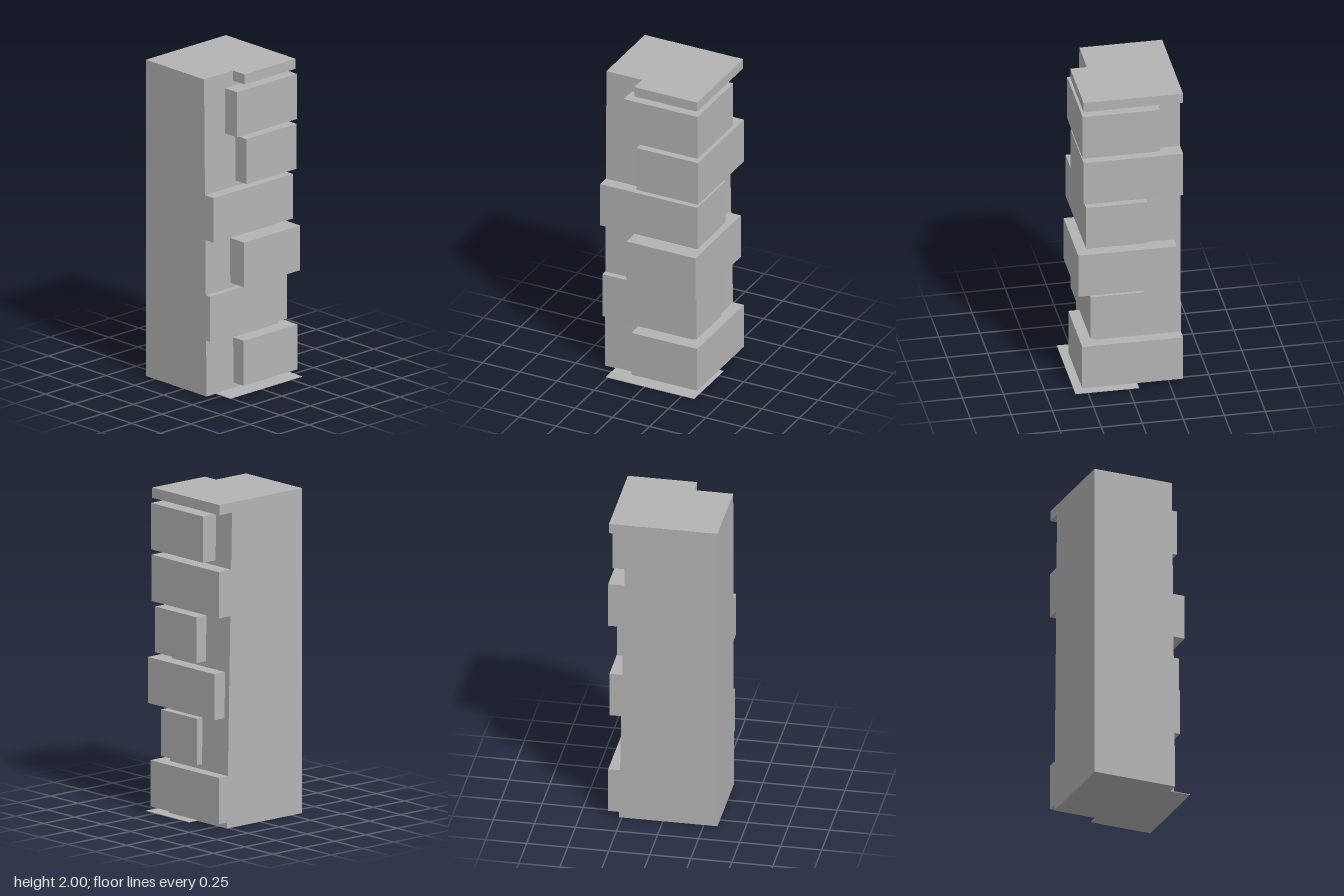
import * as THREE from 'three';

const stone = new THREE.MeshStandardMaterial({ color: 0xb4b4b4 });
stone.name = 'grey stone';

// L-shaped block wrapping the back-left corner of the pillar, sunk slightly into it
function cornerBlock(name, y0, y1, left, right, back, front) {
  const innerX = 0.17, innerZ = -0.22;
  const outline = [
    [right, back], [left, back], [left, innerZ],
    [innerX, innerZ], [innerX, front], [right, front],
  ];
  const shape = new THREE.Shape(outline.map(([x, z]) => new THREE.Vector2(x, -z)));
  const geometry = new THREE.ExtrudeGeometry(shape, { depth: y1 - y0, bevelEnabled: false });
  geometry.rotateX(-Math.PI / 2).translate(0, y0, 0);
  const mesh = new THREE.Mesh(geometry, stone);
  mesh.name = name;
  return mesh;
}

// Pillar whose +x and back faces lean inwards towards the top
function pillar() {
  const geometry = new THREE.BoxGeometry(2, 2, 2).translate(0, 1, 0);
  const p = geometry.attributes.position;
  for (let i = 0; i < p.count; i++) {
    const t = p.getY(i) / 2;
    p.setX(i, p.getX(i) < 0 ? -0.329 : THREE.MathUtils.lerp(0.198, 0.176, t));
    p.setZ(i, p.getZ(i) > 0 ? 0.333 : THREE.MathUtils.lerp(-0.267, -0.226, t));
  }
  geometry.computeVertexNormals();
  const mesh = new THREE.Mesh(geometry, stone);
  mesh.name = 'pillar';
  return mesh;
}

export function createModel() {
  const model = new THREE.Group();
  model.name = 'cornerPillar';
  model.add(pillar());

  // bottom, top, left, right, back, front
  const blocks = [
    [0.037, 0.322, -0.329, 0.286, -0.333, 0.11],
    [0.353, 0.639, -0.095, 0.229, -0.3, 0.333],
    [0.67, 0.953, -0.29, 0.31, -0.333, 0.13],
    [0.988, 1.27, -0.115, 0.26, -0.32, 0.333],
    [1.303, 1.588, -0.329, 0.277, -0.333, 0.08],
    [1.62, 1.905, -0.188, 0.283, -0.333, 0.162],
    [1.937, 2, -0.329, 0.277, -0.328, 0.094],
  ];
  blocks.forEach((b, i) => model.add(cornerBlock(`cornerBlock${i + 1}`, ...b)));

  // Thin slab under the lowest block
  model.add(cornerBlock('basePlate', 0, 0.004, -0.06, 0.327, -0.333, 0.26));
  return model;
}
